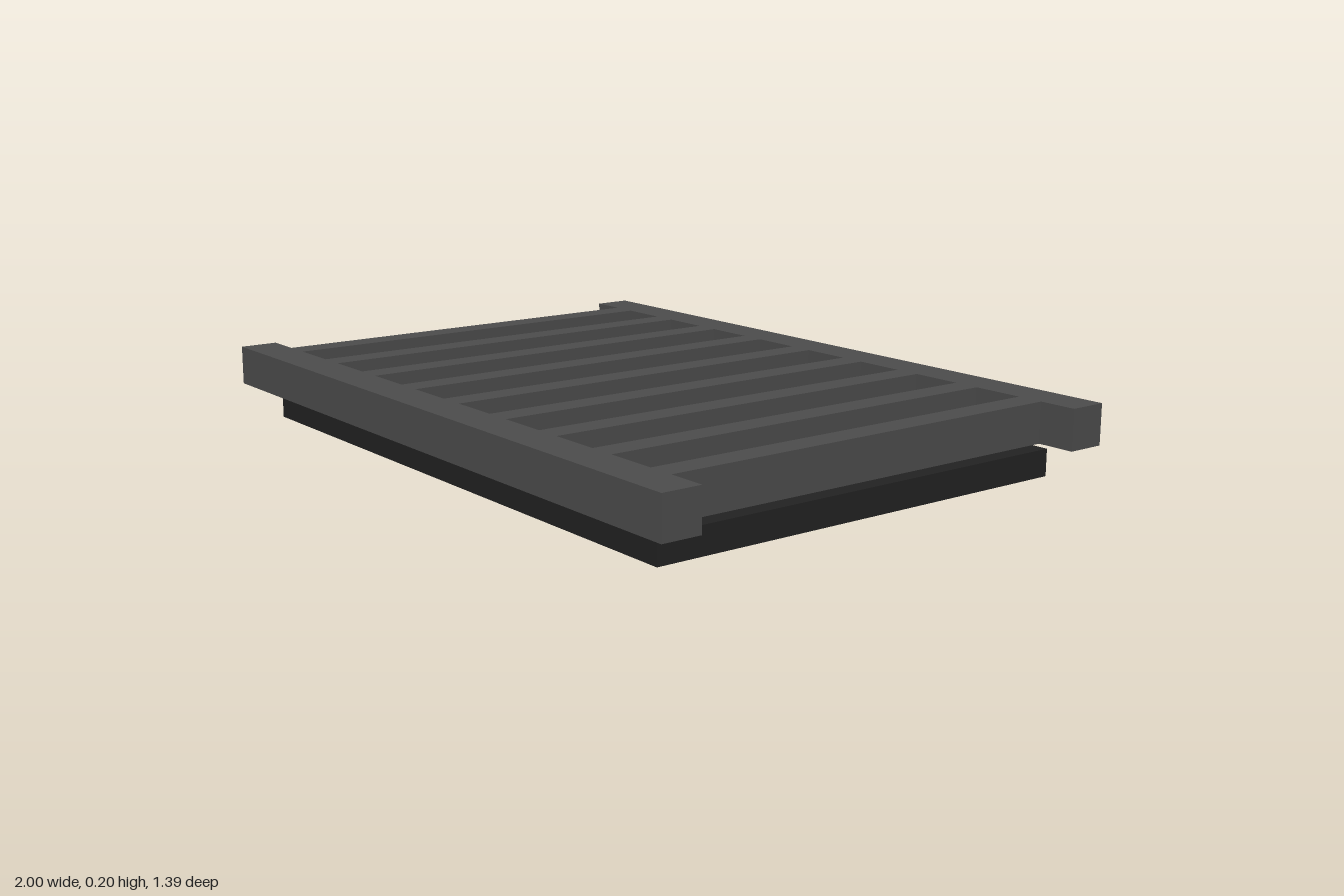
import * as THREE from 'three';

export function createModel() {
  const model = new THREE.Group();
  model.name = 'drainGrate';

  const grey = new THREE.MeshStandardMaterial({ color: 0x4d4d4d });
  grey.name = 'grate grey';
  const black = new THREE.MeshStandardMaterial({ color: 0x222222 });
  black.name = 'base black';

  const addBox = (parent, name, material, size, position) => {
    const mesh = new THREE.Mesh(new THREE.BoxGeometry(...size), material);
    mesh.name = name;
    mesh.position.set(...position);
    parent.add(mesh);
  };

  // Dark slab below, separated from the grate by a narrow gap
  addBox(model, 'basePlate', black, [1.786, 0.072, 1.25], [0, 0.036, 0]);

  const grate = new THREE.Group();
  grate.name = 'grate';
  model.add(grate);
  const height = 0.109, y = 0.2 - height / 2;

  // Long rails at front and back
  for (const side of [1, -1]) {
    const name = side > 0 ? 'frontRail' : 'backRail';
    addBox(grate, name, grey, [2, height, 0.107], [0, y, side * 0.643]);
  }

  // Nine evenly spaced bars between the rails
  const count = 9, pitch = 0.215;
  for (let i = 0; i < count; i++) {
    const x = (i - (count - 1) / 2) * pitch;
    addBox(grate, `bar${i + 1}`, grey, [0.072, height, 1.179], [x, y, 0]);
  }

  return model;
}
